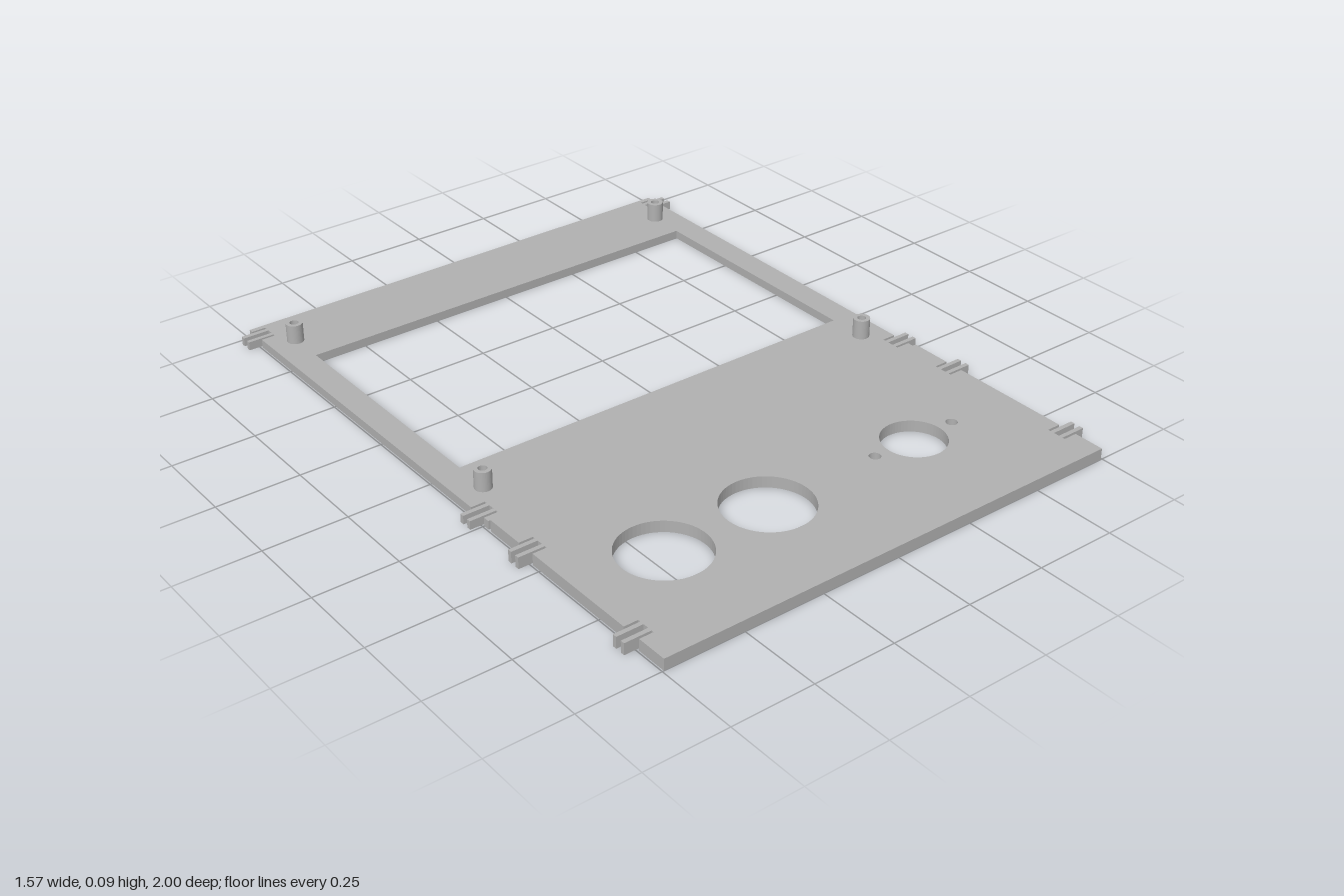
import * as THREE from 'three';

const HALF = 0.745, NOTCH = 0.702, TIP = 0.783;

// Right edge of a plate: each clip is two prongs standing in a notch.
function edgePoints(zStart, zEnd, clips) {
  const pts = [[HALF, zStart]];
  for (const c of clips) {
    pts.push([HALF, c - 0.03], [NOTCH, c - 0.03],
      [NOTCH, c - 0.022], [TIP, c - 0.022], [TIP, c - 0.009], [NOTCH, c - 0.009],
      [NOTCH, c + 0.009], [TIP, c + 0.009], [TIP, c + 0.022], [NOTCH, c + 0.022],
      [NOTCH, c + 0.03], [HALF, c + 0.03]);
  }
  pts.push([HALF, zEnd]);
  return pts;
}

// Flat plate drawn in x and z, mirrored left to right, lying on y = 0.
function makePlate(name, zStart, zEnd, clips, holes, thickness, material) {
  const right = edgePoints(zStart, zEnd, clips);
  const left = right.map(([x, z]) => [-x, z]).reverse();
  const shape = new THREE.Shape([...right, ...left].map(([x, z]) => new THREE.Vector2(x, z)));
  shape.holes.push(...holes);
  const geometry = new THREE.ExtrudeGeometry(shape, { depth: thickness, bevelEnabled: false, curveSegments: 32 });
  geometry.rotateX(Math.PI / 2).translate(0, thickness, 0);
  const mesh = new THREE.Mesh(geometry, material);
  mesh.name = name;
  return mesh;
}

function circleHole(x, z, radius) {
  const path = new THREE.Path();
  path.absarc(x, z, radius, 0, Math.PI * 2, true);
  return path;
}

export function createModel() {
  const group = new THREE.Group();
  group.name = 'enclosurePanels';
  const grey = new THREE.MeshStandardMaterial({ color: 0xb0b0b0 });
  grey.name = 'plastic grey';

  // Display panel with its rectangular window
  const thin = 0.026;
  const window = new THREE.Path([[-0.665, -0.748], [-0.665, 0.013], [0.665, 0.013], [0.665, -0.748]]
    .map(([x, z]) => new THREE.Vector2(x, z)));
  group.add(makePlate('displayPanel', -1, 0.27, [-0.955, 0.22], [window], thin, grey));

  // Control panel with two large holes, one connector hole and its screw holes
  const holes = [[-0.477, 0.13], [-0.138, 0.13], [0.38, 0.094], [0.237, 0.017], [0.522, 0.017]]
    .map(([x, r]) => circleHole(x, 0.655, r));
  group.add(makePlate('controlPanel', 0.28, 1, [0.438, 0.875], holes, 0.035, grey));

  // Hollow mounting posts
  const ring = new THREE.Shape();
  ring.absarc(0, 0, 0.025, 0, Math.PI * 2, false);
  ring.holes.push(circleHole(0, 0, 0.013));
  const postGeometry = new THREE.ExtrudeGeometry(ring, { depth: 0.085 - thin, bevelEnabled: false, curveSegments: 24 });
  postGeometry.rotateX(-Math.PI / 2);
  for (const x of [-0.667, 0.667]) {
    for (const z of [-0.863, 0.13]) {
      const post = new THREE.Mesh(postGeometry, grey);
      post.name = 'mountingPost';
      post.position.set(x, thin, z);
      group.add(post);
    }
  }
  return group;
}
